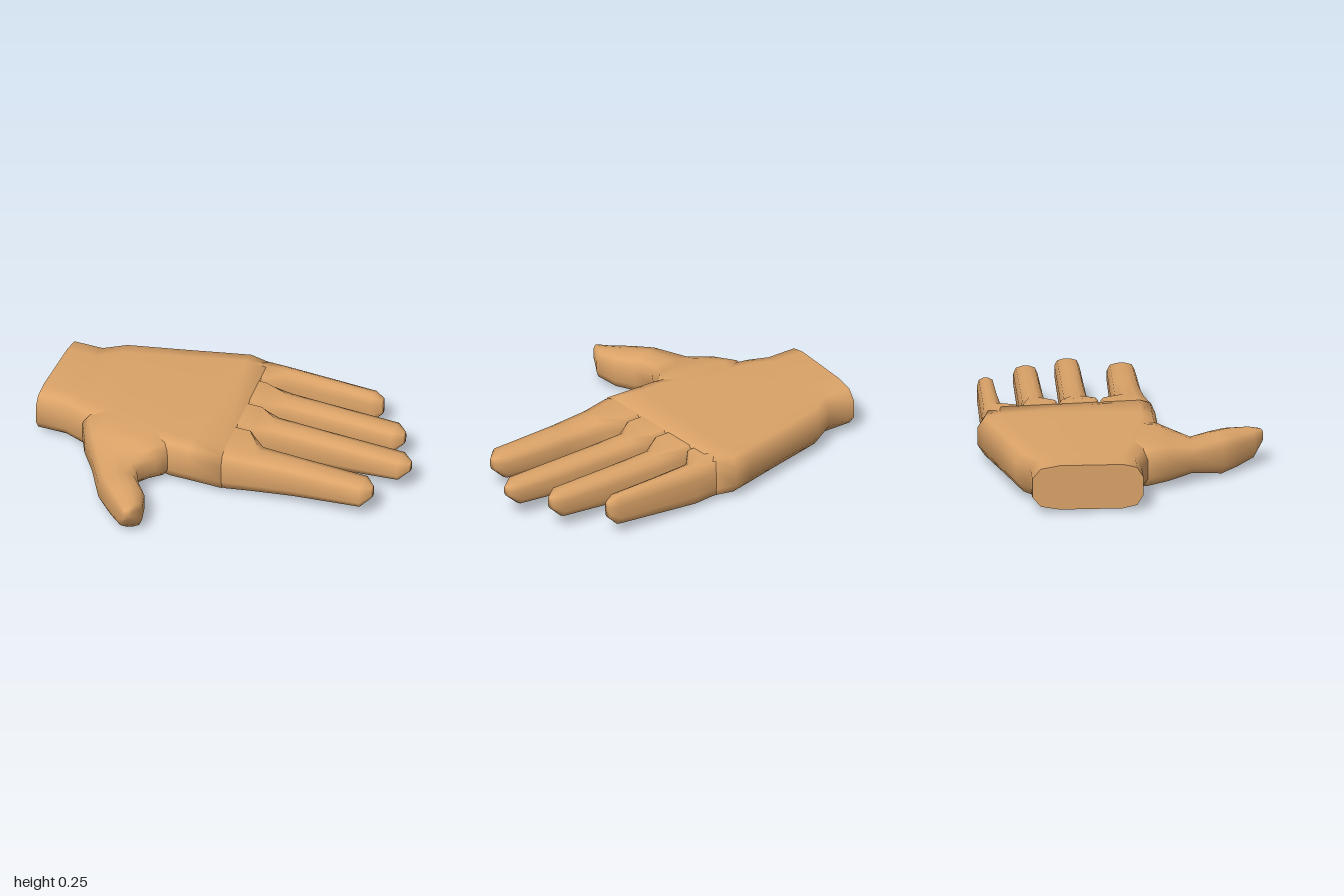
import * as THREE from 'three';

const skin = new THREE.MeshStandardMaterial({ color: 0xdba368 });
const ARC = 5; // segments per rounded side

// Closed ring standing on the plan segment A-B, from y0 to y1, with rounded ends rA and rB.
function ring([ax, az, bx, bz, y0, y1, rA, rB]) {
  const len = Math.hypot(bx - ax, bz - az), dx = (bx - ax) / len, dz = (bz - az) / len;
  const mid = (y0 + y1) / 2, half = (y1 - y0) / 2, pts = [];
  const soft = (v) => Math.sign(v) * Math.pow(Math.abs(v), 0.75);
  for (const side of [1, -1]) {
    for (let i = 0; i <= ARC; i++) {
      const t = -Math.PI / 2 + (Math.PI * i) / ARC;
      const c = i === 0 || i === ARC ? 0 : soft(Math.cos(t));
      const s = side > 0 ? len - rB + rB * c : rA - rA * c;
      pts.push([ax + dx * s, mid + side * half * soft(Math.sin(t)), az + dz * s]);
    }
  }
  return pts;
}

// Skin through a row of sections; the start is capped sharply, the end smoothly.
function loft(name, sections) {
  const rings = sections.map(ring), n = rings[0].length, pos = [], index = [];
  const centre = (r) => [0, 1, 2].map((k) => r.reduce((sum, p) => sum + p[k], 0) / n);
  rings.forEach((r) => r.forEach((p) => pos.push(...p)));
  const last = (rings.length - 1) * n, endMid = last + n, startMid = endMid + 1;
  pos.push(...centre(rings[rings.length - 1]), ...centre(rings[0]));
  rings[0].forEach((p) => pos.push(...p));
  for (let j = 0; j < n; j++) {
    const k = (j + 1) % n;
    for (let i = 0; i < last; i += n) {
      index.push(i + j, i + n + j, i + k, i + k, i + n + j, i + n + k);
    }
    index.push(endMid, last + k, last + j, startMid, startMid + 1 + j, startMid + 1 + k);
  }
  const geo = new THREE.BufferGeometry();
  geo.setAttribute('position', new THREE.Float32BufferAttribute(pos, 3));
  geo.setIndex(index);
  geo.computeVertexNormals();
  const mesh = new THREE.Mesh(geo, skin);
  mesh.name = name;
  return mesh;
}

// Finger: wide web at the knuckles, narrow neck, straight shaft, short blunt tip.
function finger(name, { web, round, neck, neckZ, end, endZ, tip }) {
  const [ax, az, bx, bz] = web, [rA, rB] = round;
  const top = (x) => 0.251 - 0.035 * x;
  const low = (x) => 0.01 + 0.085 * x;
  const section = (x, z0, z1, k = 0.36) =>
    [x, z0, x, z1, low(x), top(x), (z1 - z0) * k, (z1 - z0) * k];
  const mid = (endZ[0] + endZ[1]) / 2;
  const nose = section(tip, mid - 0.022, mid + 0.022);
  nose[4] += 0.045;
  nose[5] -= 0.025;
  return loft(name, [
    [ax - 0.16, az, bx - 0.16, bz, 0.021, 0.259, rA, rB],
    [ax, az, bx, bz, 0.021, 0.258, rA, rB],
    section(neck, ...neckZ),
    section(neck + 0.22, neckZ[0] * 0.5 + endZ[0] * 0.5, neckZ[1] * 0.3 + endZ[1] * 0.7),
    section(end, ...endZ),
    nose,
  ]);
}

export function createModel() {
  const hand = new THREE.Group();
  hand.name = 'hand';

  // Wrist and palm, running towards the knuckles
  const palm = [
    [-1, -0.52, 0.07, 0.15], [-0.84, -0.52, 0.07, 0.15], [-0.73, -0.59, 0.11, 0.14],
    [-0.42, -0.665, 0.16, 0.13], [-0.2, -0.72, 0.2, 0.12], [-0.1, -0.745, 0.2, 0.12],
  ].map(([x, z0, z1, r]) => [x, z0, x, z1, 0.02, 0.26, r, r * 0.75]);
  palm.push([0.01, -0.715, 0.09, 0.2, 0.02, 0.26, 0.11, 0.08]);
  hand.add(loft('palm', palm));

  // Four fingers; web runs from the -z corner to the +z corner of the base
  hand.add(
    finger('indexFinger', {
      web: [0.15, -0.09, 0.1, 0.195], round: [0.02, 0.08],
      neck: 0.25, neckZ: [-0.025, 0.172], end: 0.84, endZ: [-0.008, 0.142], tip: 0.89,
    }),
    finger('middleFinger', {
      web: [0.125, -0.305, 0.15, -0.09], round: [0.02, 0.02],
      neck: 0.23, neckZ: [-0.288, -0.13], end: 0.94, endZ: [-0.275, -0.142], tip: 0.993,
    }),
    finger('ringFinger', {
      web: [0.06, -0.51, 0.125, -0.305], round: [0.02, 0.02],
      neck: 0.22, neckZ: [-0.506, -0.355], end: 0.82, endZ: [-0.497, -0.367], tip: 0.87,
    }),
    finger('littleFinger', {
      web: [0.02, -0.714, 0.06, -0.51], round: [0.09, 0.02],
      neck: 0.13, neckZ: [-0.71, -0.59], end: 0.61, endZ: [-0.7, -0.606], tip: 0.66,
    }),
  );

  // Thumb: each section runs from the inner to the outer edge
  const thumb = [
    [-0.18, 0.02, -0.7, -0.02, 0.023, 0.257, 0.1],
    [-0.2, 0.19, -0.73, 0.1, 0.023, 0.255, 0.12],
    [-0.25, 0.245, -0.67, 0.22, 0.028, 0.243, 0.14],
    [-0.315, 0.35, -0.575, 0.35, 0.045, 0.207, 0.11],
    [-0.27, 0.44, -0.47, 0.52, 0.005, 0.22, 0.085],
    [-0.2, 0.53, -0.39, 0.605, 0.018, 0.212, 0.075],
    [-0.17, 0.64, -0.29, 0.695, 0.04, 0.2, 0.05],
    [-0.195, 0.705, -0.24, 0.74, 0.12, 0.19, 0.02],
  ].map((s) => [...s, s[6]]);
  hand.add(loft('thumb', thumb));

  return hand;
}
